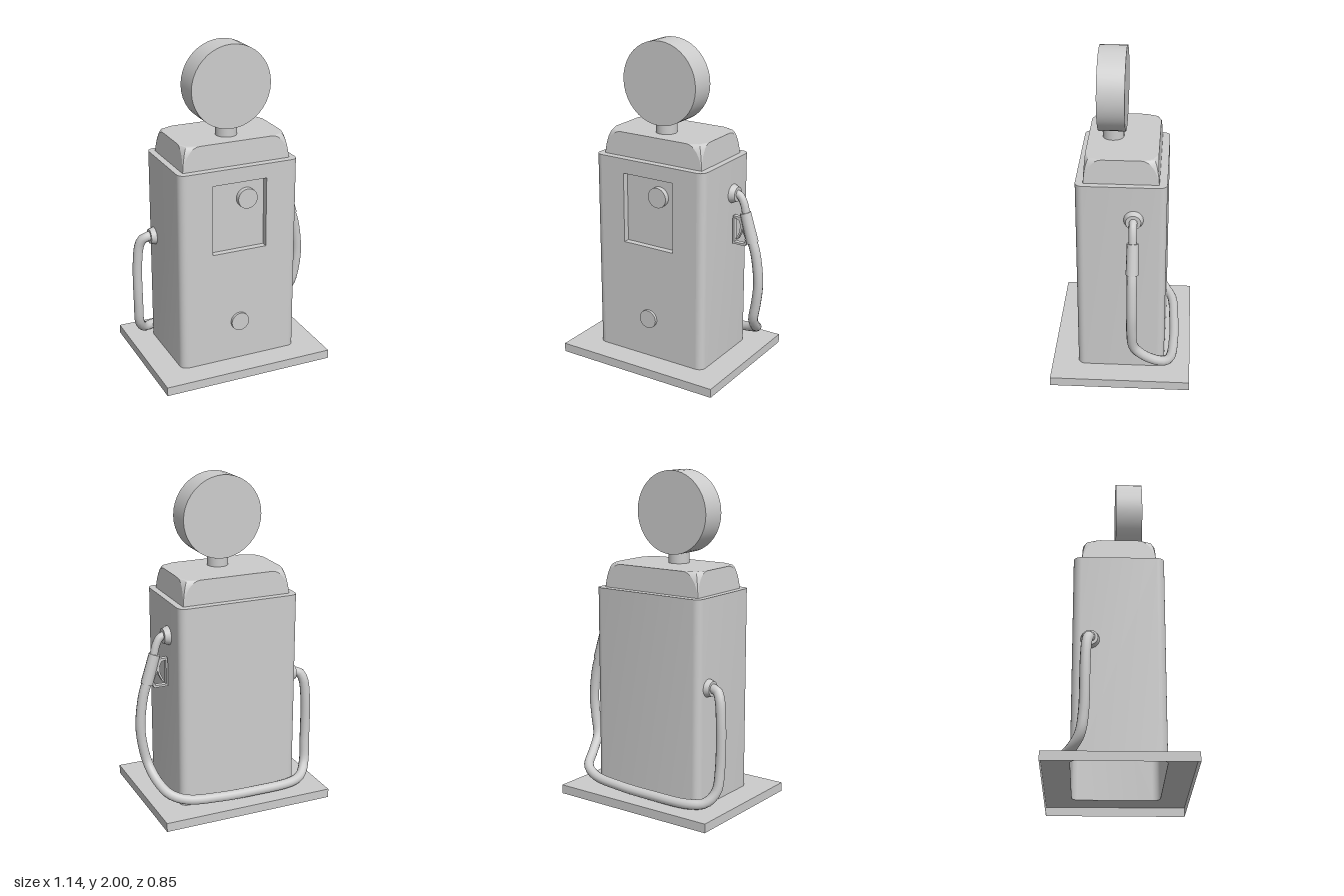
import * as THREE from 'three';
import { toCreasedNormals } from 'three/addons/utils/BufferGeometryUtils.js';

const CX = -0.03; // centre line of the cabinet
const V = (x, y, z) => new THREE.Vector3(x, y, z);

// Rounded rectangle outline seen from above (second value is -z),
// starting at the right end of the front edge and running counter-clockwise.
function outline(w, d, r, steps) {
  const pts = [];
  const corners = [[1, -1], [1, 1], [-1, 1], [-1, -1]];
  corners.forEach(([sx, sy], k) => {
    for (let i = 0; i <= steps; i++) {
      const a = (k - 1 + i / steps) * Math.PI / 2;
      pts.push(new THREE.Vector2(CX + sx * (w - r) + r * Math.cos(a), sy * (d - r) + r * Math.sin(a)));
    }
  });
  return pts;
}

// Skin between stacked outlines: each ring is { y, pts }
function skin(rings, closed, crease) {
  const pos = [];
  const n = rings[0].pts.length;
  for (let k = 0; k < rings.length - 1; k++) {
    for (let i = 0; i < (closed ? n : n - 1); i++) {
      const at = (ring, j) => [ring.pts[j % n].x, ring.y, -ring.pts[j % n].y];
      const a = at(rings[k], i), b = at(rings[k], i + 1);
      const c = at(rings[k + 1], i + 1), d = at(rings[k + 1], i);
      pos.push(...a, ...b, ...c, ...a, ...c, ...d);
    }
  }
  const g = new THREE.BufferGeometry();
  g.setAttribute('position', new THREE.Float32BufferAttribute(pos, 3));
  g.computeVertexNormals();
  return toCreasedNormals(g, crease);
}

// Flat horizontal plate from an outline, with an optional hole
function lid(pts, y, hole) {
  const s = new THREE.Shape(pts);
  if (hole) s.holes.push(new THREE.Path(hole));
  return new THREE.ShapeGeometry(s).rotateX(-Math.PI / 2).translate(0, y, 0);
}

const rect = (x0, y0, x1, y1) => [[x0, y0], [x1, y0], [x1, y1], [x0, y1]].map(p => new THREE.Vector2(...p));

export function createModel() {
  const model = new THREE.Group();
  const grey = new THREE.MeshStandardMaterial({ color: 0xcccccc, side: THREE.DoubleSide });
  grey.name = 'plain grey';

  const add = (name, geometry, parent = model) => {
    const m = new THREE.Mesh(geometry, grey);
    m.name = name;
    parent.add(m);
    return m;
  };
  const group = (name) => {
    const g = new THREE.Group();
    g.name = name;
    model.add(g);
    return g;
  };
  // Round bar from p to q, radius r0 at p and r1 at q
  const rod = (name, p, q, r0, r1, sides, parent) => {
    const m = add(name, new THREE.CylinderGeometry(r1, r0, p.distanceTo(q), sides), parent);
    m.position.copy(p).add(q).multiplyScalar(0.5);
    m.quaternion.setFromUnitVectors(V(0, 1, 0), q.clone().sub(p).normalize());
    return m;
  };

  // Base: shallow tray, open underneath and into the cabinet
  const BASE = 0.055, TOP = 1.3, W = 0.38, D = 0.266, R = 0.045;
  const foot = outline(W, D, R, 6);
  const slab = rect(-0.57, -0.425, 0.51, 0.425);
  const base = group('base');
  add('baseSides', skin([{ y: 0, pts: slab }, { y: BASE, pts: slab }], true, 0.3), base);
  add('baseTop', lid(slab, BASE, foot), base);

  // Cabinet: wrapped sides and back, a front with the window cut out, a top
  const cabinet = group('cabinet');
  const wrap = foot.slice(6 - 6);
  add('cabinetSides', skin([{ y: BASE, pts: wrap }, { y: TOP, pts: wrap }], false, 0.5), cabinet);
  add('cabinetTop', lid(foot, TOP), cabinet);
  const win = rect(-0.205, 0.775, 0.142, 1.21);
  const front = new THREE.Shape(rect(CX - W + R, BASE, CX + W - R, TOP));
  front.holes.push(new THREE.Path(win));
  add('cabinetFront', new THREE.ShapeGeometry(front).translate(0, 0, D), cabinet);

  // Sunken window with its four reveals
  const DEPTH = 0.04;
  const recess = group('windowRecess');
  add('windowBack', new THREE.ShapeGeometry(new THREE.Shape(win)).translate(0, 0, D - DEPTH), recess);
  const wx = (win[0].x + win[1].x) / 2, wy = (win[0].y + win[2].y) / 2;
  const ww = win[1].x - win[0].x, wh = win[2].y - win[0].y;
  for (const s of [-1, 1]) {
    add('windowSide', new THREE.PlaneGeometry(DEPTH, wh).rotateY(-s * Math.PI / 2)
      .translate(wx + s * ww / 2, wy, D - DEPTH / 2), recess);
    add('windowEdge', new THREE.PlaneGeometry(ww, DEPTH).rotateX(s * Math.PI / 2)
      .translate(wx, wy + s * wh / 2, D - DEPTH / 2), recess);
  }
  rod('windowDial', V(0.026, 1.095, D - DEPTH), V(0.026, 1.095, D - 0.008), 0.062, 0.062, 32);
  rod('frontCap', V(CX, 0.307, D - 0.002), V(CX, 0.307, 0.283), 0.057, 0.057, 32);

  // Hood: corners are cut away more and more towards the top
  const hood = group('hood');
  const rings = [];
  for (let i = 0; i <= 8; i++) {
    const a = i / 8 * Math.PI / 2;
    const t = Math.sin(a);
    const cut = 0.004 + 0.095 * (1 - Math.cos(a));
    rings.push({ y: TOP + 0.145 * t, pts: outline(0.341 - 0.012 * t, 0.22 - 0.008 * t, cut, 2) });
  }
  add('hoodSides', skin(rings, true, 0.35), hood);
  add('hoodTop', lid(rings[8].pts, TOP + 0.145), hood);

  // Neck and round sign
  rod('neck', V(CX, 1.43, 0.065), V(CX, 1.53, 0.065), 0.064, 0.064, 24);
  rod('roundSign', V(CX, 1.75, -0.015), V(CX, 1.75, 0.146), 0.25, 0.25, 40);

  // Nozzle hanging on the left side
  const NZ = -0.074;
  const nozzle = group('nozzle');
  rod('nozzleSocket', V(0.345, 1.09, NZ), V(0.385, 1.09, NZ), 0.06, 0.045, 20, nozzle);
  const spout = new THREE.CatmullRomCurve3([
    V(0.37, 1.095, NZ), V(0.4, 1.085, NZ), V(0.425, 1.045, NZ), V(0.447, 0.96, NZ)]);
  add('spout', new THREE.TubeGeometry(spout, 12, 0.024, 12), nozzle);
  rod('nozzleGrip', V(0.437, 0.985, NZ), V(0.49, 0.805, NZ), 0.034, 0.037, 12, nozzle);

  // Trigger guard: flat frame with a slanted trigger inside
  const poly = (...p) => p.map(q => new THREE.Vector2(...q));
  const guard = new THREE.Shape(poly([0.36, 0.777], [0.447, 0.777], [0.47, 0.82], [0.425, 0.955], [0.36, 0.955]));
  guard.holes.push(new THREE.Path(poly([0.37, 0.79], [0.438, 0.79], [0.45, 0.82], [0.4, 0.935], [0.37, 0.945])));
  const plate = { depth: 0.03, bevelEnabled: false };
  add('triggerGuard', new THREE.ExtrudeGeometry(guard, plate).translate(0, 0, NZ - 0.015), nozzle);
  const trigger = new THREE.Shape(poly([0.382, 0.81], [0.394, 0.81], [0.42, 0.86], [0.425, 0.92], [0.412, 0.92], [0.408, 0.862]));
  add('trigger', new THREE.ExtrudeGeometry(trigger, plate).translate(0, 0, NZ - 0.015), nozzle);

  // Hose: down the left side, round the back and up to the right socket
  rod('hoseSocket', V(-0.405, 0.77, -0.165), V(-0.443, 0.77, -0.165), 0.056, 0.045, 20);
  const hose = new THREE.CatmullRomCurve3([
    V(0.482, 0.83, NZ), V(0.512, 0.74, NZ), V(0.536, 0.55, NZ), V(0.525, 0.42, NZ),
    V(0.5, 0.3, -0.088), V(0.475, 0.215, -0.165), V(0.43, 0.155, -0.262),
    V(0.335, 0.118, -0.305), V(0.13, 0.1, -0.322), V(-0.1, 0.092, -0.32),
    V(-0.375, 0.09, -0.3), V(-0.46, 0.105, -0.26), V(-0.505, 0.17, -0.215),
    V(-0.516, 0.3, -0.195), V(-0.516, 0.6, -0.19), V(-0.5, 0.725, -0.182),
    V(-0.475, 0.764, -0.17), V(-0.425, 0.772, -0.165)]);
  add('hose', new THREE.TubeGeometry(hose, 80, 0.03, 12));

  return model;
}
